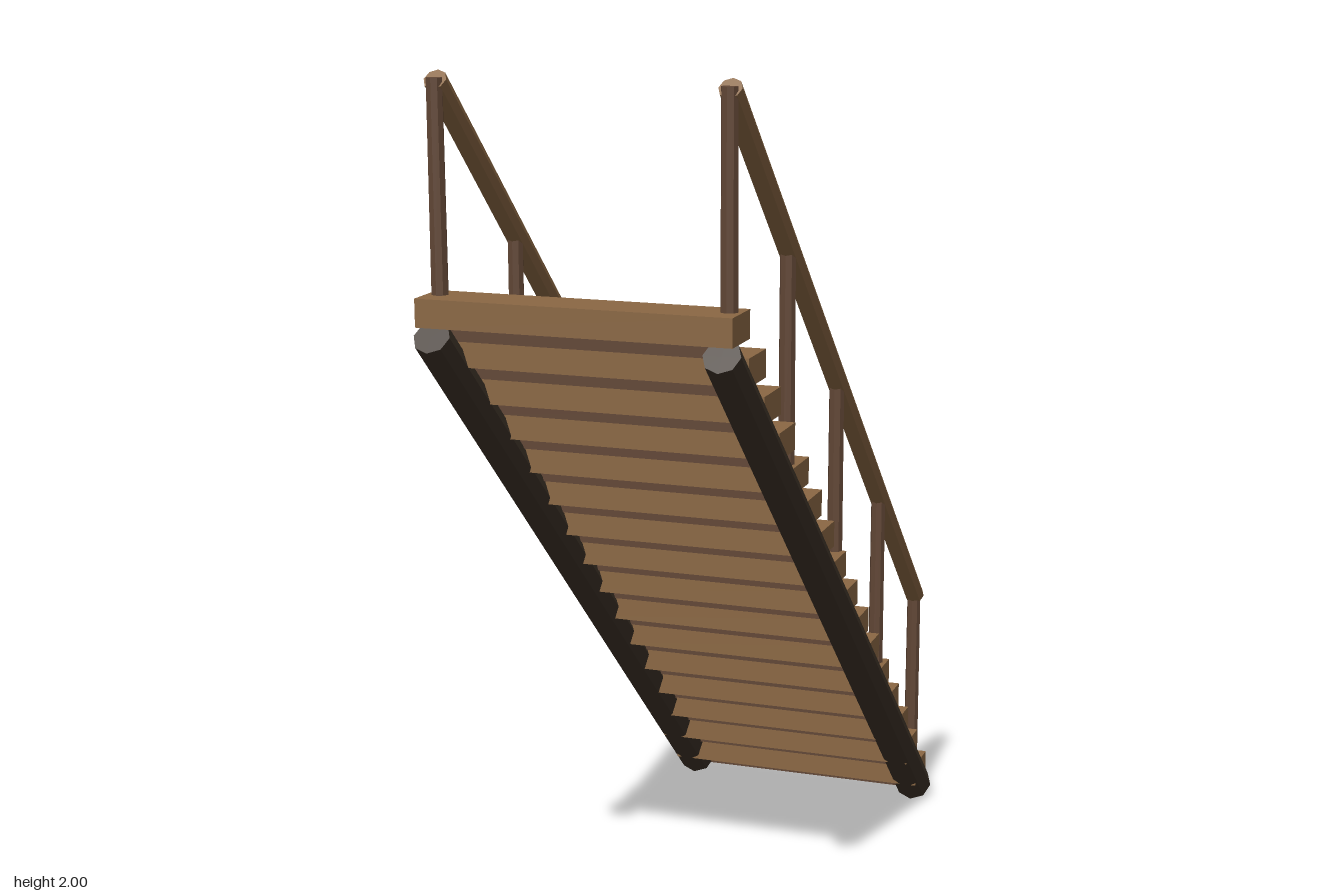
import * as THREE from 'three';

const lightWood = new THREE.MeshStandardMaterial({ color: 0x8b6844, flatShading: true });
const darkWood = new THREE.MeshStandardMaterial({ color: 0x624736, flatShading: true });
const logWood = new THREE.MeshStandardMaterial({ color: 0x3d3228, flatShading: true });

const STEPS = 16, RUN = 0.1006, RISE = 0.096;
const TREAD_H = 0.058, TREAD_D = 0.107, SIDE_X = 0.303;
const treadTop = (i) => 0.12 + i * RISE;
const treadZ = (i) => -0.75 + i * RUN;

export function createModel() {
  const model = new THREE.Group();
  model.name = 'staircase';

  const add = (name, geometry, material, parent = model) => {
    const mesh = new THREE.Mesh(geometry, material);
    mesh.name = name;
    parent.add(mesh);
    return mesh;
  };

  // Eight-sided pole running between two points
  const pole = (name, from, to, rFrom, rTo, material, parent) => {
    const dir = to.clone().sub(from);
    const mesh = add(name, new THREE.CylinderGeometry(rTo, rFrom, dir.length(), 8), material, parent);
    mesh.position.copy(from).add(to).multiplyScalar(0.5);
    mesh.quaternion.setFromUnitVectors(new THREE.Vector3(0, 1, 0), dir.normalize());
  };

  // Treads with a thin riser under each leading edge
  const treadGeometry = new THREE.BoxGeometry(0.66, TREAD_H, TREAD_D);
  const riserGeometry = new THREE.BoxGeometry(0.6, 0.042, 0.016);
  for (let i = 0; i < STEPS; i++) {
    const y = treadTop(i), z = treadZ(i);
    add('tread', treadGeometry, lightWood).position.set(0, y - TREAD_H / 2, z);
    add('riser', riserGeometry, darkWood).position.set(0, y - TREAD_H - 0.02, z - TREAD_D / 2 + 0.01);
  }

  // Each side: log stringer, sloping handrail and five posts
  const railLow = [0.565, -0.752], railHigh = [1.982, 0.747];
  for (const side of [1, -1]) {
    const x = side * SIDE_X;
    const group = new THREE.Group();
    group.name = side > 0 ? 'leftSide' : 'rightSide';
    model.add(group);

    pole('stringer', new THREE.Vector3(x, 0.035, -0.785), new THREE.Vector3(x, 1.482, 0.795),
      0.046, 0.039, logWood, group);
    pole('handrail', new THREE.Vector3(x, ...railLow), new THREE.Vector3(x, ...railHigh),
      0.024, 0.024, lightWood, group);

    for (let p = 0; p < 5; p++) {
      const z = -0.745 + p * 0.374;
      const step = Math.min(STEPS - 1, Math.floor((z + 0.8) / RUN));
      const t = (z - railLow[1]) / (railHigh[1] - railLow[1]);
      const top = railLow[0] + t * (railHigh[0] - railLow[0]);
      pole('post', new THREE.Vector3(x, treadTop(step) - 0.01, z), new THREE.Vector3(x, top, z),
        0.018, 0.017, darkWood, group);
    }
  }
  return model;
}
